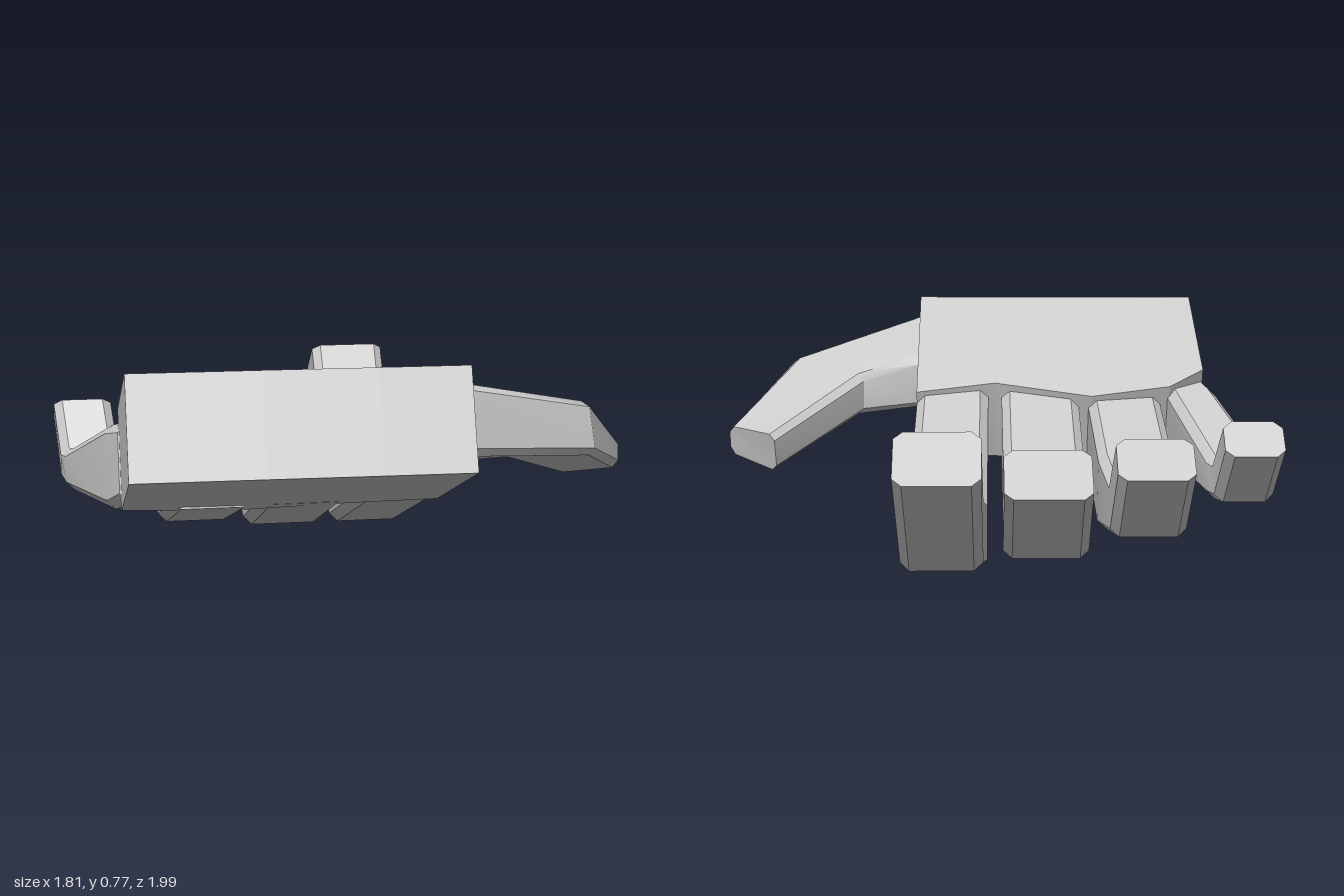
import * as THREE from 'three';
import { toCreasedNormals } from 'three/addons/utils/BufferGeometryUtils.js';

const material = new THREE.MeshStandardMaterial({ color: 0xcccccc });
const v = (x, y, z) => new THREE.Vector3(x, y, z);

// Cut the corners of a cross-section by a fixed length.
function chamfer(corners, size) {
  if (!size) return corners;
  const n = corners.length;
  return corners.flatMap((p, i) => [corners[(i + n - 1) % n], corners[(i + 1) % n]].map((q) =>
    p.clone().lerp(q, Math.min(0.45, size / p.distanceTo(q)))));
}

// Skin a row of cross-sections and cap both ends.
function loft(name, sections, crease = 0.35) {
  const n = sections[0].length, last = sections.length - 1, pos = [], idx = [];
  sections.forEach((s) => s.forEach((p) => pos.push(p.x, p.y, p.z)));
  for (let i = 0; i < last; i++) {
    for (let j = 0; j < n; j++) {
      const k = (j + 1) % n, a = i * n, b = a + n;
      idx.push(a + j, b + j, a + k, a + k, b + j, b + k);
    }
  }
  for (let j = 1; j < n - 1; j++) {
    idx.push(0, j, j + 1, last * n, last * n + j + 1, last * n + j);
  }
  const geo = new THREE.BufferGeometry();
  geo.setAttribute('position', new THREE.Float32BufferAttribute(pos, 3));
  geo.setIndex(idx);
  const mesh = new THREE.Mesh(toCreasedNormals(geo, crease), material);
  mesh.name = name;
  return mesh;
}

// Each station: centre x, width, top z, top y, bottom z, bottom y.
function finger(name, stations) {
  return loft(name, stations.map(([x, w, tz, ty, bz, by]) => {
    const h = w / 2;
    return chamfer([v(x - h, by, bz), v(x + h, by, bz), v(x + h, ty, tz), v(x - h, ty, tz)], 0.028);
  }));
}

export function createModel() {
  const hand = new THREE.Group();
  hand.name = 'hand';

  // Palm, swept from right to left: x, front top z and y, front bottom z and y, wrist offset
  const palm = [
    [-0.72, 0.35, 0.56, 0.47, 0.27, -0.01],
    [-0.6, 0.28, 0.51, 0.38, 0.24, -0.008],
    [-0.33, 0.25, 0.48, 0.35, 0.225, -0.004],
    [0, 0.34, 0.515, 0.41, 0.25, 0.003],
    [0.27, 0.29, 0.49, 0.4, 0.25, 0.008],
  ].map(([x, tz, ty, bz, by, dz]) =>
    [v(x, by, bz), v(x, 0.48, 0.985 + dz), v(x, 0.77, 0.87 + dz), v(x, ty, tz)]);
  hand.add(loft('palm', palm));

  // Four fingers, bent upwards at the ends
  hand.add(finger('indexFinger', [
    [0.145, 0.245, 0.42, 0.52, 0.47, 0.28],
    [0.155, 0.25, -0.36, 0.24, -0.28, 0.0],
    [0.168, 0.25, -0.6, 0.3, -0.7, 0.08],
    [0.177, 0.255, -0.83, 0.52, -1.0, 0.39],
  ]));
  hand.add(finger('middleFinger', [
    [-0.155, 0.265, 0.4, 0.51, 0.45, 0.265],
    [-0.155, 0.265, -0.17, 0.31, -0.12, 0.045],
    [-0.15, 0.265, -0.38, 0.245, -0.52, 0.08],
    [-0.15, 0.265, -0.605, 0.43, -0.78, 0.31],
  ]));
  hand.add(finger('ringFinger', [
    [-0.44, 0.25, 0.4, 0.51, 0.45, 0.26],
    [-0.455, 0.245, -0.12, 0.34, -0.06, 0.083],
    [-0.475, 0.24, -0.29, 0.285, -0.39, 0.12],
    [-0.487, 0.24, -0.42, 0.435, -0.57, 0.33],
  ]));
  hand.add(finger('littleFinger', [
    [-0.645, 0.16, 0.42, 0.53, 0.49, 0.3],
    [-0.675, 0.17, 0.3, 0.5, 0.38, 0.25],
    [-0.78, 0.19, -0.1, 0.335, -0.11, 0.19],
    [-0.795, 0.19, -0.13, 0.325, -0.22, 0.2],
    [-0.812, 0.19, -0.255, 0.465, -0.37, 0.37],
  ]));

  // Thumb, swept outwards from the side of the palm
  const thumb = [
    [v(0.1, 0.42, 0.6), v(0.1, 0.53, 0.92), v(0.1, 0.72, 0.89), v(0.1, 0.63, 0.6)],
    [v(0.27, 0.4, 0.53), v(0.27, 0.5, 0.87), v(0.27, 0.71, 0.83), v(0.27, 0.58, 0.53)],
    [v(0.46, 0.39, 0.45), v(0.715, 0.43, 0.63), v(0.71, 0.585, 0.55), v(0.46, 0.53, 0.45)],
    [v(0.735, 0.245, 0.11), v(0.905, 0.29, 0.24), v(0.905, 0.385, 0.22), v(0.74, 0.375, 0.07)],
  ].map((corners) => chamfer(corners, 0.022));
  hand.add(loft('thumb', thumb, 0.5));

  return hand;
}
